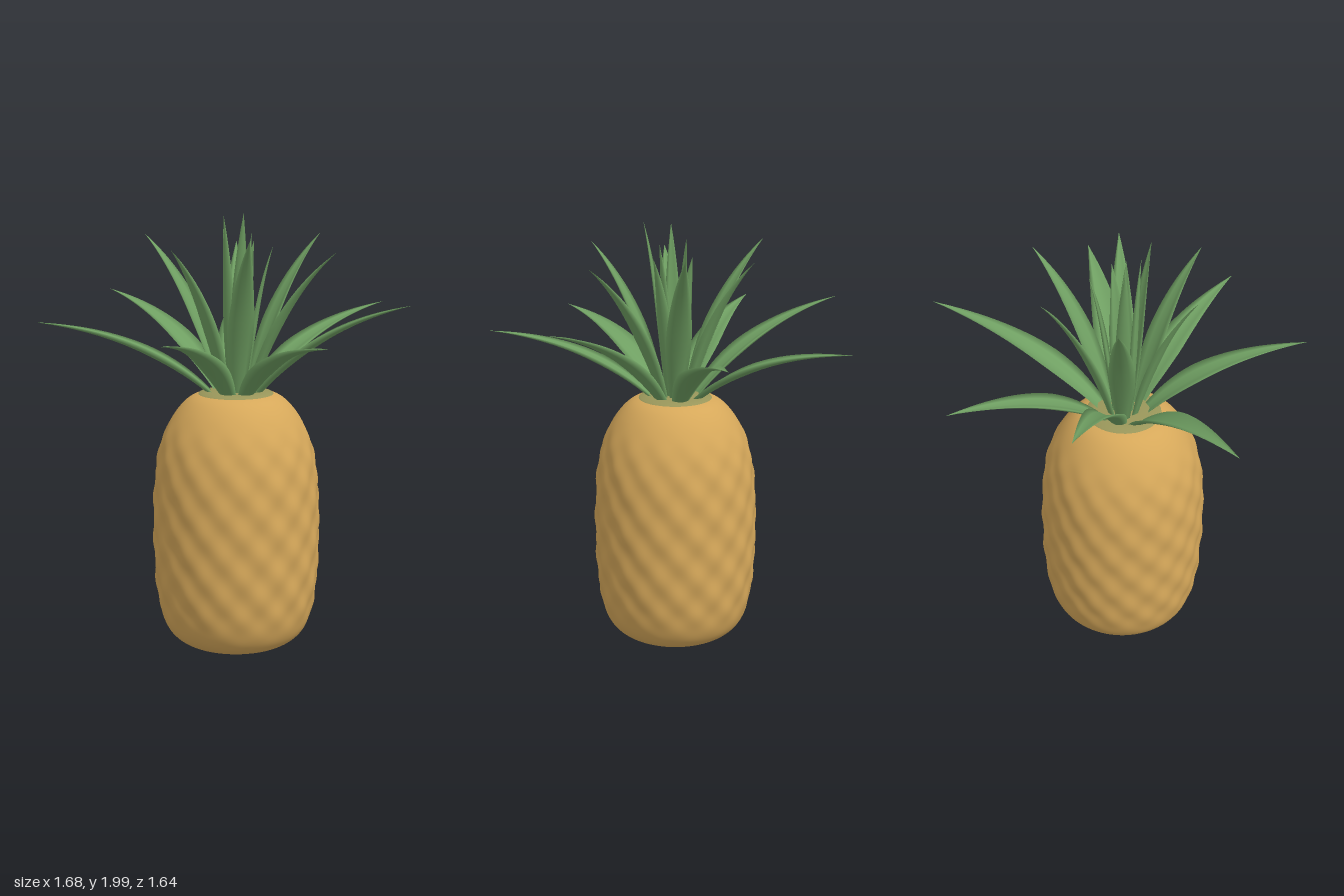
import * as THREE from 'three';
import { mergeVertices } from 'three/addons/utils/BufferGeometryUtils.js';

const AXIS_X = -0.11; // the fruit stands off-centre under its leaves
const CROWN_Y = 1.17;

const mat = (name, color, side = THREE.FrontSide) => {
  const m = new THREE.MeshStandardMaterial({ color, side });
  m.name = name;
  return m;
};

// Lathed barrel with a woven lattice of soft bumps
function fruitGeometry() {
  const profile = [
    [0, 0.035], [0.1, 0.025], [0.19, 0.004], [0.26, 0.02], [0.32, 0.075], [0.355, 0.17],
    [0.375, 0.32], [0.382, 0.5], [0.38, 0.68], [0.366, 0.85], [0.335, 0.98],
    [0.285, 1.08], [0.225, 1.15], [0.165, 1.18], [0.09, 1.188], [0, 1.188],
  ].map(([r, y]) => new THREE.Vector2(r, y));
  const pts = new THREE.SplineCurve(profile).getSpacedPoints(120);
  pts.forEach(p => { p.x = Math.max(p.x, 0); });
  let geo = new THREE.LatheGeometry(pts, 128);
  geo.deleteAttribute('uv');
  geo.deleteAttribute('normal');
  geo = mergeVertices(geo, 1e-5);
  const pos = geo.attributes.position;
  for (let i = 0; i < pos.count; i++) {
    const x = pos.getX(i), y = pos.getY(i), z = pos.getZ(i);
    const fade = THREE.MathUtils.smoothstep(y, 0.06, 0.25) * (1 - THREE.MathUtils.smoothstep(y, 0.9, 1.12));
    const bump = Math.cos(14 * Math.atan2(z, x)) * Math.cos((y * Math.PI * 2) / 0.2);
    const s = 1 + 0.017 * fade * bump;
    pos.setXYZ(i, x * s, y, z * s);
  }
  geo.computeVertexNormals();
  return geo;
}

// One tapering, channelled leaf swept from the crown to its tip
function leafGeometry(x, y, z, halfWidth) {
  const dir = new THREE.Vector3(x - AXIS_X, 0, z);
  const span = dir.length();
  dir.normalize();
  const baseR = 0.03 + 0.07 * Math.min(span / 0.9, 1);
  const rise = y - CROWN_Y;
  const at = (r, h) => new THREE.Vector3(AXIS_X, h, 0).addScaledVector(dir, r);
  const curve = new THREE.QuadraticBezierCurve3(
    at(baseR, CROWN_Y),
    at(baseR + (span - baseR) * 0.36, CROWN_Y + 0.12 + rise * 0.5),
    at(span, y));
  const side = new THREE.Vector3(-dir.z, 0, dir.x);
  // cross-section: [across, upward], both relative to the half width
  const section = [[-1, 0.16], [-0.5, 0.03], [0, -0.1], [0.5, 0.03], [1, 0.16],
    [0.6, -0.14], [0, -0.32], [-0.6, -0.14]];
  const n = section.length, steps = 24, verts = [], index = [];
  for (let i = 0; i <= steps; i++) {
    const t = i / steps;
    const p = curve.getPoint(t), up = side.clone().cross(curve.getTangent(t));
    const taper = t < 0.38
      ? 0.5 + 0.5 * Math.sin((t / 0.38) * Math.PI / 2)
      : 1 - Math.pow((t - 0.38) / 0.62, 1.4);
    const w = halfWidth * Math.max(taper, 0.01);
    for (const [a, b] of section) {
      const v = p.clone().addScaledVector(side, a * w).addScaledVector(up, b * w);
      verts.push(v.x, v.y, v.z);
    }
    if (i === steps) break;
    for (let j = 0; j < n; j++) {
      const a = i * n + j, b = i * n + (j + 1) % n;
      index.push(a, b, b + n, a, b + n, a + n);
    }
  }
  const geo = new THREE.BufferGeometry();
  geo.setAttribute('position', new THREE.Float32BufferAttribute(verts, 3));
  geo.setIndex(index);
  geo.computeVertexNormals();
  return geo;
}

export function createModel() {
  const root = new THREE.Group();
  root.name = 'pineapple';
  const skin = mat('golden skin', 0xd6a85a);
  const leafGreen = mat('leaf green', 0x6f9f62, THREE.DoubleSide);
  const collarGreen = mat('collar olive', 0x99965a);

  const add = (name, geo, material, parent = root) => {
    const m = new THREE.Mesh(geo, material);
    m.name = name;
    parent.add(m);
    return m;
  };

  add('fruit', fruitGeometry(), skin).position.x = AXIS_X;

  // Greenish collar where the crown joins the fruit
  const collar = [[0.178, 1.172], [0.165, 1.184], [0.13, 1.19], [0.07, 1.194], [0, 1.194]];
  add('collar', new THREE.LatheGeometry(collar.map(p => new THREE.Vector2(...p)), 48), collarGreen)
    .position.x = AXIS_X;

  // Leaf tips of each ring of the crown: [x, y, z]
  const rings = {
    outerLeaf: { halfWidth: 0.072, tips: [
      [0.84, 1.53, 0.04], [0.44, 1.46, -0.66], [-0.19, 1.6, -0.82], [-0.8, 1.51, -0.57],
      [-0.84, 1.5, 0.36], [-0.36, 1.49, 0.82], [0.32, 1.6, 0.67]] },
    middleLeaf: { halfWidth: 0.058, tips: [
      [0.35, 1.89, 0.08], [0.08, 1.83, 0.44], [0.16, 1.84, -0.29],
      [-0.25, 1.885, -0.47], [-0.45, 1.84, -0.04], [-0.34, 1.89, 0.34]] },
    innerLeaf: { halfWidth: 0.04, tips: [
      [-0.18, 1.995, 0.13], [-0.18, 1.98, 0], [-0.13, 1.92, -0.06],
      [-0.085, 1.905, 0.08], [0, 1.85, 0.13], [0.04, 1.86, -0.04]] },
  };
  const crown = new THREE.Group();
  crown.name = 'crown';
  root.add(crown);
  for (const [name, { halfWidth, tips }] of Object.entries(rings)) {
    for (const [x, y, z] of tips) add(name, leafGeometry(x, y, z, halfWidth), leafGreen, crown);
  }
  return root;
}
